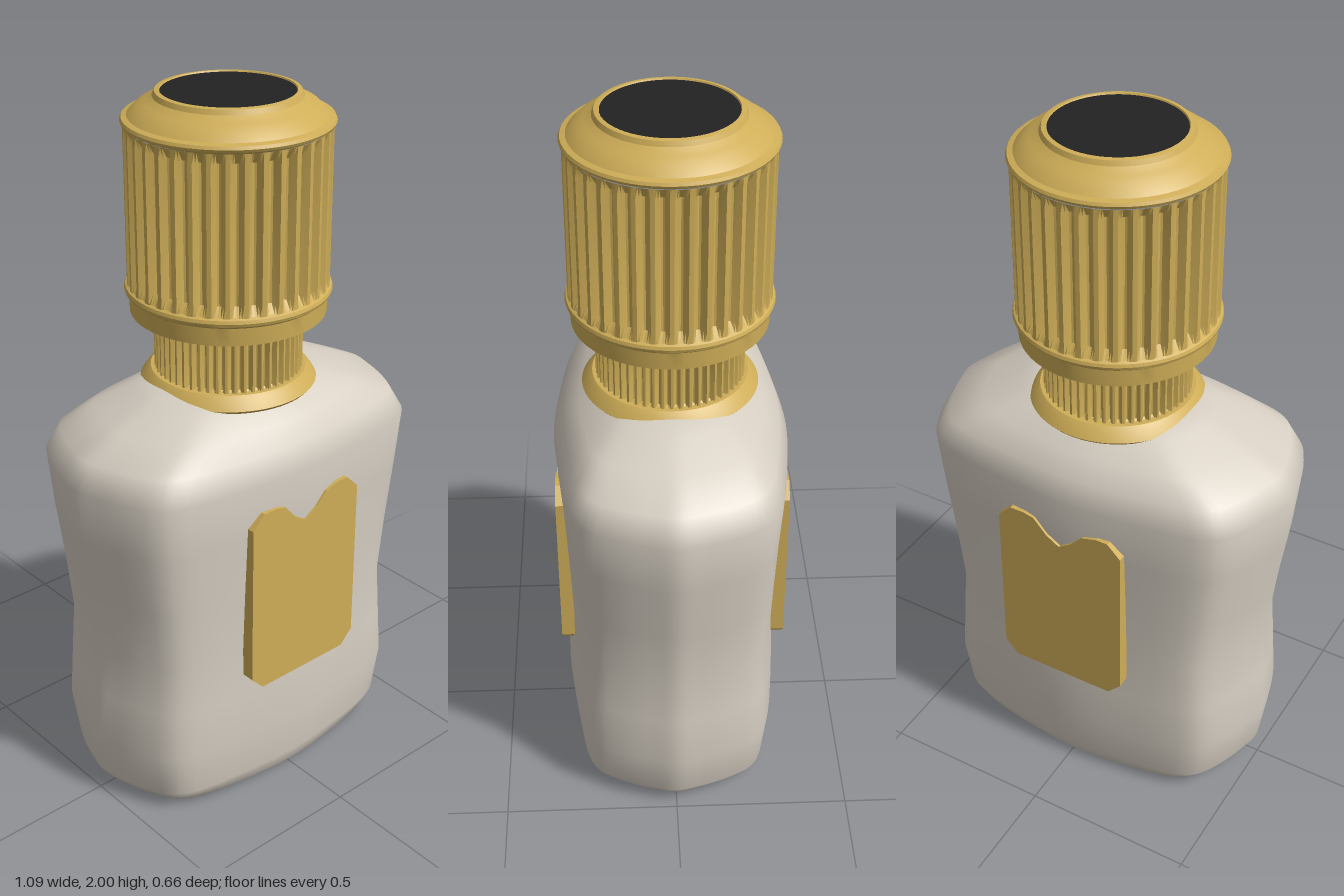
import * as THREE from 'three';
import { toCreasedNormals } from 'three/addons/utils/BufferGeometryUtils.js';

const glass = new THREE.MeshStandardMaterial({ color: 0xd6cec2 });
glass.name = 'pearl glass';
const gold = new THREE.MeshStandardMaterial({ color: 0xcfae58 });
gold.name = 'gold';
const black = new THREE.MeshStandardMaterial({ color: 0x222222 });
black.name = 'black';

// Skin a stack of closed rings (arrays of Vector3, running from +x to +z)
function loft(rings) {
  const n = rings[0].length, index = [];
  for (let j = 0; j < rings.length - 1; j++) {
    for (let i = 0; i < n; i++) {
      const a = j * n + i, b = j * n + (i + 1) % n, c = a + n, d = b + n;
      index.push(a, c, b, b, c, d);
    }
  }
  const geo = new THREE.BufferGeometry().setFromPoints(rings.flat());
  geo.setIndex(index);
  geo.computeVertexNormals();
  return geo;
}

// Rounded-oblong outline of the flask, in fractions of its half width and depth
const quarter = [[1, 0], [0.975, 0.2], [0.91, 0.52], [0.82, 0.76], [0.7, 0.86], [0.37, 0.95], [0, 1]];
const half = [...quarter, ...quarter.slice(0, -1).reverse().map(([x, z]) => [-x, z])];
const full = [...half, ...half.slice(1, -1).reverse().map(([x, z]) => [x, -z])];
const outline = new THREE.CatmullRomCurve3(
  full.map(([x, z]) => new THREE.Vector3(x, 0, z)), true).getPoints(96).slice(0, -1);

// One flask section; round blends the outline towards an ellipse
function section(y, hx, hz, round = 0) {
  return outline.map((p) => {
    const k = THREE.MathUtils.lerp(1, 1 / Math.hypot(p.x, p.z), round);
    return new THREE.Vector3(p.x * k * hx, y, p.z * k * hz);
  });
}

// Cylinder with flutes cut into its side
function fluted(count, rOut, rIn, y0, y1, fade) {
  const steps = count * 8;
  const ring = (y, r, depth) => Array.from({ length: steps }, (_, i) => {
    const a = (i / steps) * Math.PI * 2;
    const groove = [0, 0, 0, 0.5, 0.9, 1, 0.9, 0.5][i % 8];
    const q = r - depth * groove;
    return new THREE.Vector3(Math.cos(a) * q, y, Math.sin(a) * q);
  });
  const d = rOut - rIn;
  return toCreasedNormals(loft([
    ring(y0, rOut, 0), ring(y0 + fade, rOut, d), ring(y1 - fade, rOut, d), ring(y1, rOut, 0),
  ]), 0.5);
}

function turned(profile) {
  const pts = profile.map(([r, y]) => new THREE.Vector2(r, y));
  return toCreasedNormals(new THREE.LatheGeometry(pts, 64), 0.5);
}

export function createModel() {
  const model = new THREE.Group();
  model.name = 'bottle';
  const add = (name, geo, mat) => {
    const mesh = new THREE.Mesh(geo, mat);
    mesh.name = name;
    model.add(mesh);
    return mesh;
  };

  // Waisted flask and its flat base
  add('flask', loft([
    section(0.005, 0.43, 0.27, 0.3),
    section(0.02, 0.46, 0.29, 0.15),
    section(0.06, 0.49, 0.3),
    section(0.2, 0.51, 0.314),
    section(0.35, 0.498, 0.309),
    section(0.5, 0.485, 0.305),
    section(0.68, 0.505, 0.311),
    section(0.87, 0.532, 0.319),
    section(1.03, 0.547, 0.329),
    section(1.1, 0.505, 0.302),
    section(1.15, 0.4, 0.255, 0.1),
    section(1.195, 0.29, 0.19, 0.5),
    section(1.22, 0.22, 0.14, 1),
    section(1.222, 0.01, 0.01, 1),
  ]), glass);
  add('base', loft([section(0, 0.001, 0.001, 0.3), section(0.005, 0.43, 0.27, 0.3)]), glass);

  // Notched plates on the front and back
  const label = new THREE.Shape([
    [-0.155, 0.378], [0.155, 0.378], [0.195, 0.42], [0.195, 0.905], [0.155, 0.945], [0.12, 0.945],
    [0.075, 0.932], [0.04, 0.895], [0, 0.868], [-0.04, 0.893], [-0.08, 0.938], [-0.11, 0.945],
    [-0.155, 0.945], [-0.195, 0.905], [-0.195, 0.42],
  ].map(([x, y]) => new THREE.Vector2(x, y)));
  for (const [name, turn] of [['frontLabel', 0], ['backLabel', Math.PI]]) {
    const geo = new THREE.ExtrudeGeometry(label, { depth: 0.04, bevelEnabled: false });
    geo.translate(0, 0, 0.287);
    add(name, geo, gold).rotation.y = turn;
  }

  // Collar and fluted neck
  add('collar', turned([
    [0.19, 1.188], [0.236, 1.188], [0.244, 1.197], [0.226, 1.222], [0.215, 1.232], [0.19, 1.232],
  ]), gold);
  add('neck', fluted(52, 0.205, 0.19, 1.225, 1.405, 0.012), gold);

  // Cap: skirt, rings, fluted grip and stepped crown
  add('capSkirt', turned([
    [0.15, 1.4], [0.268, 1.4], [0.27, 1.45], [0.279, 1.457], [0.282, 1.466], [0.279, 1.475], [0.262, 1.485],
  ]), gold);
  add('capGrip', fluted(36, 0.274, 0.252, 1.475, 1.912, 0.03), gold);
  add('capCrown', turned([
    [0.262, 1.908], [0.277, 1.916], [0.281, 1.924], [0.277, 1.932], [0.262, 1.936],
    [0.236, 1.962], [0.218, 1.97], [0.196, 1.985], [0.19, 1.998], [0.178, 2], [0.174, 1.992],
  ]), gold);
  const inlay = new THREE.CircleGeometry(0.176, 64);
  inlay.rotateX(-Math.PI / 2);
  inlay.translate(0, 1.996, 0);
  add('capInlay', inlay, black);

  return model;
}
